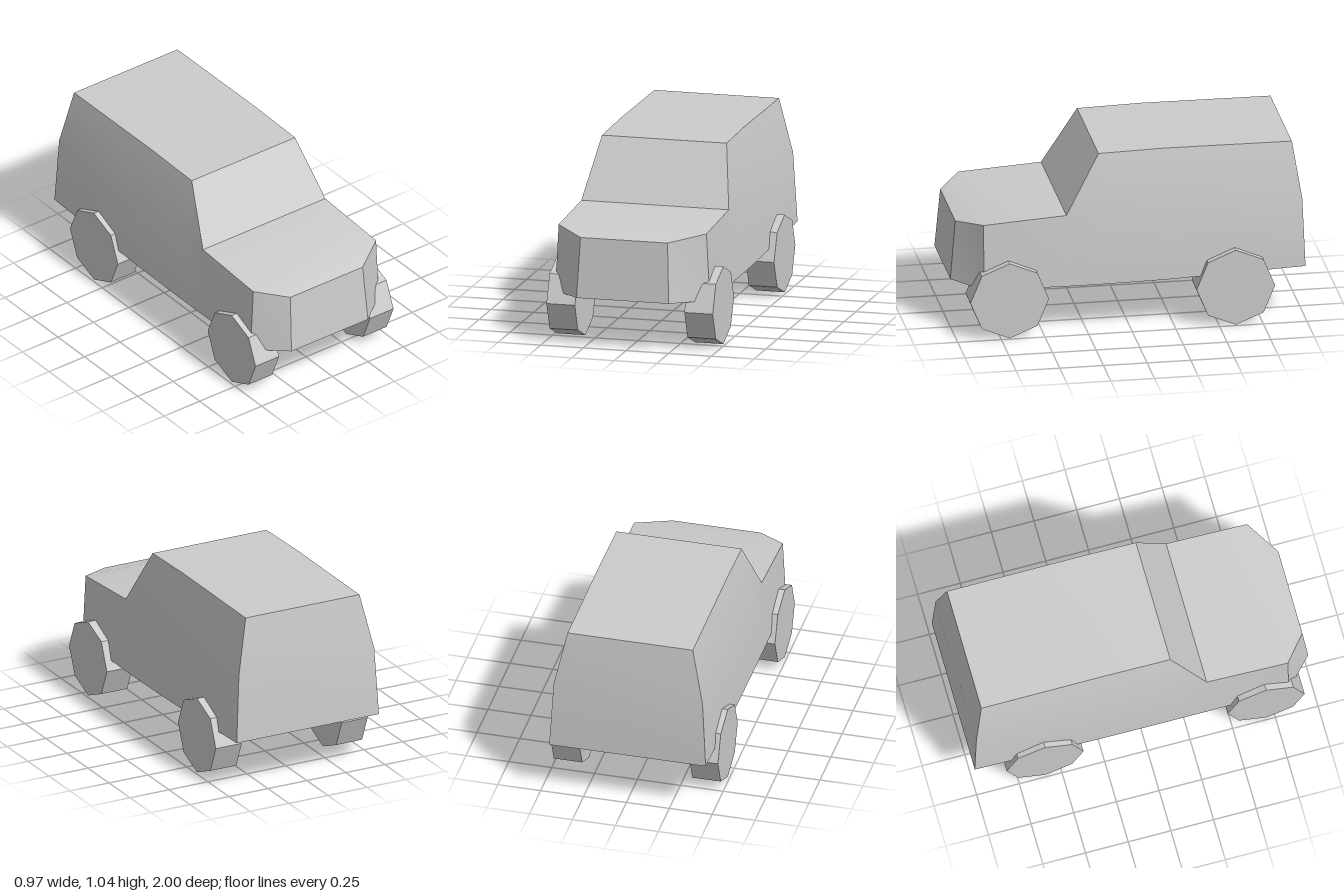
import * as THREE from 'three';
import { toCreasedNormals } from 'three/addons/utils/BufferGeometryUtils.js';

const material = new THREE.MeshStandardMaterial({ color: 0xcccccc });

// Cross-section from front to back: each level is [half width, y, z], mirrored about x = cx.
function ring(cx, bottom, belt, top) {
  const right = [bottom, belt, top].map(([w, y, z]) => new THREE.Vector3(cx - w, y, z));
  const left = [top, belt, bottom].map(([w, y, z]) => new THREE.Vector3(cx + w, y, z));
  return [...right, ...left];
}

// Joins the rings into a closed shell, leaving out collapsed triangles.
function loft(rings) {
  const points = [];
  const tri = (a, b, c) => {
    const area = b.clone().sub(a).cross(c.clone().sub(a)).length();
    if (area > 1e-6) points.push(a, b, c);
  };
  const n = rings[0].length;
  for (let i = 0; i < rings.length - 1; i++) {
    for (let j = 0; j < n; j++) {
      const k = (j + 1) % n;
      const a = rings[i][j], b = rings[i][k], c = rings[i + 1][k], d = rings[i + 1][j];
      tri(a, b, c);
      tri(a, c, d);
    }
  }
  const first = rings[0], last = rings[rings.length - 1];
  // End caps, joined level by level
  for (let j = 0; j < n / 2 - 1; j++) {
    const m = n - 1 - j;
    tri(first[j], first[m], first[m - 1]);
    tri(first[j], first[m - 1], first[j + 1]);
    tri(last[j], last[j + 1], last[m - 1]);
    tri(last[j], last[m - 1], last[m]);
  }
  return toCreasedNormals(new THREE.BufferGeometry().setFromPoints(points), 0.5);
}

export function createModel() {
  const model = new THREE.Group();
  model.name = 'offRoadCar';

  // Body: nose, chamfered corners, bonnet, windscreen, cabin and tail
  const nose = [0.255, 0.635, 0.97];
  const corner = [0.433, 0.67, 0.84];
  const screenBase = [0.432, 0.70, 0.365];
  const body = new THREE.Mesh(loft([
    ring(-0.02, [0.27, 0.29, 1.0], nose, nose),
    ring(-0.006, [0.453, 0.285, 0.84], corner, corner),
    ring(-0.006, [0.455, 0.28, 0.365], screenBase, screenBase),
    ring(-0.006, [0.455, 0.28, 0.17], [0.433, 0.71, 0.17], [0.365, 1.037, 0.17]),
    ring(-0.006, [0.456, 0.286, -0.2], [0.433, 0.715, -0.2], [0.365, 1.046, -0.2]),
    ring(-0.006, [0.456, 0.318, -1.0], [0.434, 0.72, -0.985], [0.365, 1.042, -0.937]),
  ]), material);
  body.name = 'body';
  model.add(body);

  // Eight-sided wheels
  const wheelGeometry = toCreasedNormals(
    new THREE.CylinderGeometry(0.225, 0.225, 0.166, 8).rotateZ(Math.PI / 2), 0.3);
  for (const [end, z] of [['front', 0.7], ['rear', -0.595]]) {
    for (const [side, sign] of [['Left', 1], ['Right', -1]]) {
      const wheel = new THREE.Mesh(wheelGeometry, material);
      wheel.name = `${end}${side}Wheel`;
      wheel.position.set(sign * 0.404, 0.227, z);
      model.add(wheel);
    }
  }
  return model;
}
